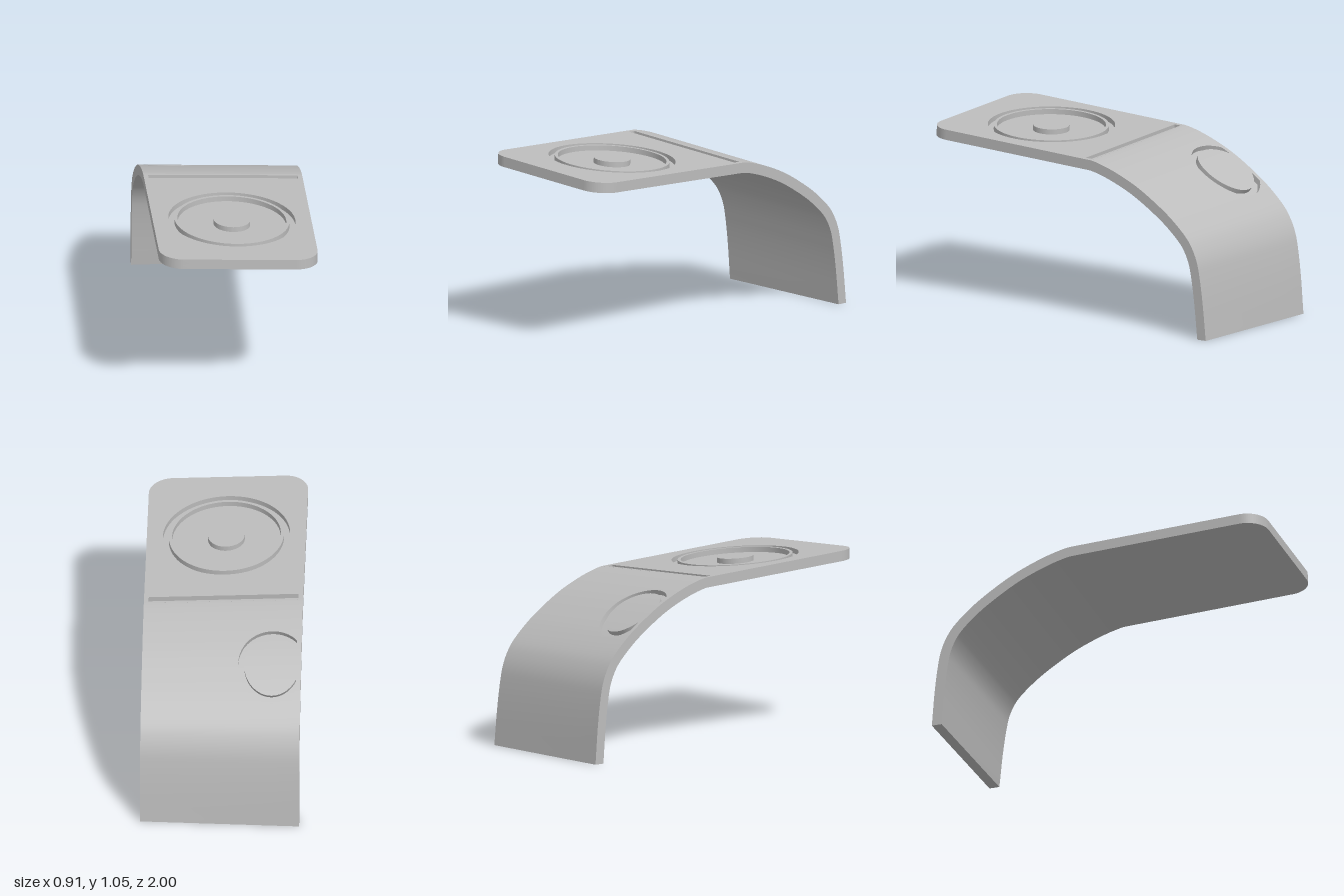
import * as THREE from 'three';
import { toCreasedNormals } from 'three/addons/utils/BufferGeometryUtils.js';

const W = 0.457, THICK = 0.06, DEEP = 0.03; // half width, plate thickness, recess depth
const JOIN = -0.16, SLOPE = 0.0442;         // where the flat deck meets the bend

// Offset a point of the (z, y) path along its normal; the plate leans down towards +x
function place(x, h, z, y, nz, ny) {
  const lean = -(x + W) / (2 * W) * (0.025 + 0.02 * Math.min(1, y));
  return new THREE.Vector3(x, Math.max(0, y + ny * (h + lean)), z + nz * (h + lean));
}

// Extrude a plan shape (x, -z) between two heights and lay it on the sloping deck
function deckPart(name, shape, h0, h1, material) {
  const geo = new THREE.ExtrudeGeometry(shape, { depth: h1 - h0, bevelEnabled: false, curveSegments: 48 });
  const pos = geo.attributes.position;
  const len = Math.hypot(SLOPE, 1);
  for (let i = 0; i < pos.count; i++) {
    const z = -pos.getY(i);
    const p = place(pos.getX(i), h0 + pos.getZ(i), z, 1.0057 + SLOPE * z, -SLOPE / len, 1 / len);
    pos.setXYZ(i, p.x, p.y, p.z);
  }
  const mesh = new THREE.Mesh(toCreasedNormals(geo, 0.5), material);
  mesh.name = name;
  return mesh;
}

function deckOutline() {
  const r = 0.135, s = new THREE.Shape();
  s.moveTo(-W, -JOIN);
  s.lineTo(-W, -1 + r);
  s.absarc(-W + r, -1 + r, r, Math.PI, Math.PI * 1.5, false);
  s.absarc(W - r, -1 + r, r, Math.PI * 1.5, Math.PI * 2, false);
  s.lineTo(W, -JOIN);
  s.closePath();
  return s;
}

function circle(r, Type = THREE.Shape) {
  const c = new Type();
  c.absarc(0, -0.455, r, 0, Math.PI * 2, false);
  return c;
}

// Curved back: rows along the path, each split in x by the C-shaped groove
function bendGeometry() {
  const path = new THREE.CatmullRomCurve3([
    [0.02, 1.0066], [-0.16, 0.9986], [-0.25, 0.979], [-0.36, 0.942], [-0.5, 0.88], [-0.65, 0.79],
    [-0.76, 0.71], [-0.87, 0.605], [-0.915, 0.535], [-0.945, 0.46], [-0.963, 0.37], [-0.982, 0.22], [-1, 0],
  ].map(([z, y]) => new THREE.Vector3(0, y, z)));
  const tAt = (z) => {
    let lo = 0, hi = 1;
    for (let i = 0; i < 40; i++) {
      const mid = (lo + hi) / 2;
      if (path.getPoint(mid).z > z) lo = mid; else hi = mid;
    }
    return lo;
  };

  // Groove circle centre, radii and the line that clips it
  const cx = -0.29, cz = -0.575, outer = 0.195, inner = 0.16, clip = -0.43;
  const start = tAt(JOIN), ts = [];
  for (let i = 0; i <= 48; i++) ts.push(start + (1 - start) * i / 48);
  for (let i = 0; i <= 32; i++) {
    const c = Math.cos(Math.PI * i / 32);
    ts.push(tAt(cz + outer * c), tAt(cz + inner * c));
  }
  for (const r of [outer, inner]) {
    const d = Math.sqrt(r * r - (cx - clip) ** 2);
    ts.push(tAt(cz + d), tAt(cz - d));
  }
  ts.sort((a, b) => a - b);

  const rows = ts.filter((t, i) => i === 0 || t - ts[i - 1] > 1e-6).map((t) => {
    const p = path.getPoint(t), g = path.getTangent(t);
    const half = (r) => Math.sqrt(Math.max(0, r * r - (p.z - cz) ** 2));
    const ro = half(outer), ri = half(inner);
    return {
      at: (x, h) => place(x, h, p.z, p.y, g.y, -g.z),
      xs: [-W, Math.max(clip, cx - ro), Math.max(clip, cx - ri), cx + ri, cx + ro, W],
    };
  });

  const out = [];
  const tri = (a, b, c) => {
    const area = b.clone().sub(a).cross(c.clone().sub(a)).length();
    if (area > 1e-9) for (const p of [a, b, c]) out.push(p.x, p.y, p.z);
  };
  const quad = (a, b, c, d) => { tri(a, b, c); tri(a, c, d); };
  // Upright strip at breakpoint k, facing +x or -x
  const wall = (A, B, k, low, facing) => {
    const q = [A.at(A.xs[k], low), B.at(B.xs[k], low), B.at(B.xs[k], 0), A.at(A.xs[k], 0)];
    quad(...(facing > 0 ? q : q.reverse()));
  };
  const open = (A, B, k) => A.xs[k + 1] - A.xs[k] > 1e-5 || B.xs[k + 1] - B.xs[k] > 1e-5;

  for (let i = 0; i + 1 < rows.length; i++) {
    const A = rows[i], B = rows[i + 1];
    for (let k = 0; k < 5; k++) {
      const h = k === 1 || k === 3 ? -DEEP : 0;
      quad(A.at(A.xs[k], h), A.at(A.xs[k + 1], h), B.at(B.xs[k + 1], h), B.at(B.xs[k], h));
    }
    const island = open(A, B, 2);
    if (open(A, B, 1)) {
      wall(A, B, 1, -DEEP, 1);
      if (island) wall(A, B, 2, -DEEP, -1);
    }
    if (open(A, B, 3)) {
      if (island) wall(A, B, 3, -DEEP, 1);
      wall(A, B, 4, -DEEP, -1);
    }
    wall(A, B, 0, -THICK, -1);
    wall(A, B, 5, -THICK, 1);
    // Underside
    quad(A.at(-W, -THICK), B.at(-W, -THICK), B.at(W, -THICK), A.at(W, -THICK));
  }
  // Foot of the leg
  const L = rows[rows.length - 1];
  quad(L.at(-W, 0), L.at(W, 0), L.at(W, -THICK), L.at(-W, -THICK));

  const geo = new THREE.BufferGeometry();
  geo.setAttribute('position', new THREE.Float32BufferAttribute(out, 3));
  return toCreasedNormals(geo, 0.5);
}

export function createModel() {
  const grey = new THREE.MeshStandardMaterial({ color: 0xbcbcbc });
  grey.name = 'plain grey';
  const model = new THREE.Group();
  model.name = 'bentPlate';

  // Upper deck layer with the dial recess and the slot cut through it
  const upper = deckOutline();
  const slot = new THREE.Path();
  slot.moveTo(-0.43, 0.105);
  slot.lineTo(0.43, 0.105);
  slot.lineTo(0.43, 0.145);
  slot.lineTo(-0.43, 0.145);
  slot.closePath();
  upper.holes.push(circle(0.365, THREE.Path), slot);

  // Thin raised ring inside the dial recess
  const ring = circle(0.33);
  ring.holes.push(circle(0.312, THREE.Path));

  const bend = new THREE.Mesh(bendGeometry(), grey);
  bend.name = 'curvedBackLeg';

  model.add(
    deckPart('deckBase', deckOutline(), -THICK, -DEEP, grey),
    deckPart('deckTop', upper, -DEEP, 0, grey),
    deckPart('dialRing', ring, -DEEP, 0, grey),
    deckPart('dialButton', circle(0.105), -DEEP, 0, grey),
    bend,
  );
  return model;
}
